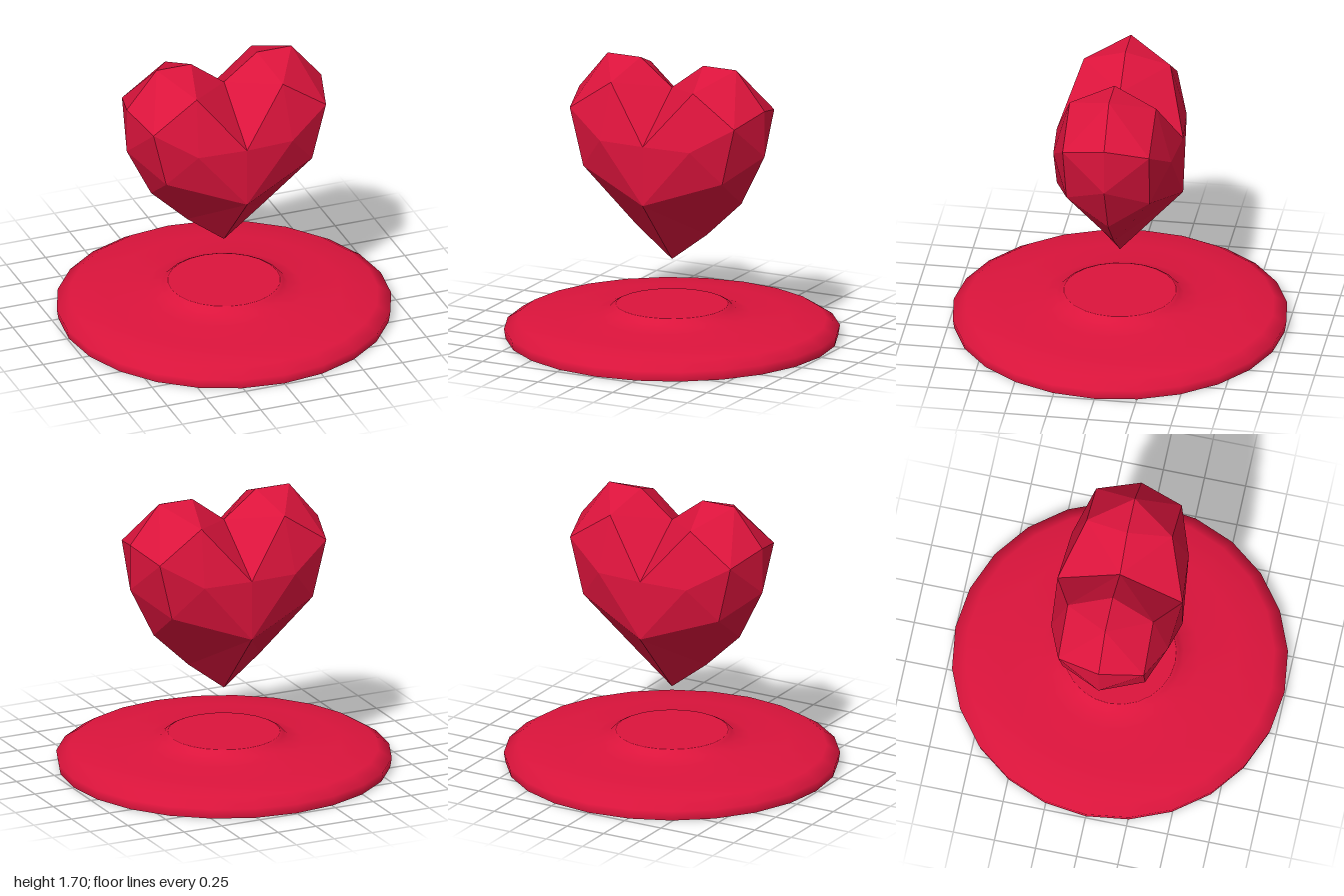
import * as THREE from 'three';

// Corners of one quarter of the heart (+x, +z)
const C = {
  notch: [0, 1.54, 0], topIn: [0.21, 1.70, 0], topOut: [0.43, 1.70, 0],
  sideHigh: [0.62, 1.47, 0], sideLow: [0.62, 1.19, 0], flank: [0.465, 0.88, 0],
  lower: [0.235, 0.66, 0], tip: [0, 0.48, 0],
  lobe: [0.275, 1.60, 0.26], shoulder: [0.55, 1.41, 0.26],
  cleft: [0, 1.265, 0.38], cheek: [0.30, 1.26, 0.355],
  hip: [0.465, 1.06, 0.25], belly: [0, 0.90, 0.38],
};

// Facets of that quarter, counter-clockwise from outside
const FACETS = [
  'notch cleft lobe', 'notch lobe topIn', 'topIn lobe topOut',
  'topOut lobe shoulder', 'topOut shoulder sideHigh',
  'lobe cleft cheek', 'lobe cheek shoulder', 'shoulder cheek hip',
  'shoulder hip sideLow', 'sideHigh shoulder sideLow',
  'cleft belly cheek', 'cheek belly hip', 'sideLow hip flank',
  'hip lower flank', 'hip belly lower', 'belly tip lower',
].map((f) => f.split(' '));

// Mirror the quarter over x and z into a closed, flat-faceted heart
function heartGeometry() {
  const pos = [];
  for (const sx of [1, -1]) {
    for (const sz of [1, -1]) {
      for (const [a, b, c] of FACETS) {
        const order = sx * sz > 0 ? [a, b, c] : [a, c, b];
        for (const k of order) pos.push(C[k][0] * sx, C[k][1], C[k][2] * sz);
      }
    }
  }
  const g = new THREE.BufferGeometry();
  g.setAttribute('position', new THREE.Float32BufferAttribute(pos, 3));
  g.computeVertexNormals(); // unshared corners give flat facets
  return g;
}

export function createModel() {
  const group = new THREE.Group();
  const crimson = new THREE.MeshStandardMaterial({ color: 0xdc143c, side: THREE.DoubleSide });
  crimson.name = 'crimson';

  const add = (name, geometry) => {
    const mesh = new THREE.Mesh(geometry, crimson);
    mesh.name = name;
    group.add(mesh);
    return mesh;
  };

  add('heart', heartGeometry());

  // Hollow base, open underneath
  const profile = [
    [0.99, 0], [1.0, 0.06], [0.92, 0.11], [0.70, 0.13], [0.47, 0.145],
    [0.38, 0.17], [0.355, 0.195], [0.335, 0.205],
  ].map(([r, y]) => new THREE.Vector2(r, y));
  add('baseDish', new THREE.LatheGeometry(profile, 24));

  // Flat top of the raised centre
  const cap = new THREE.CircleGeometry(0.335, 24).rotateX(-Math.PI / 2).translate(0, 0.205, 0);
  add('baseCap', cap);

  return group;
}
